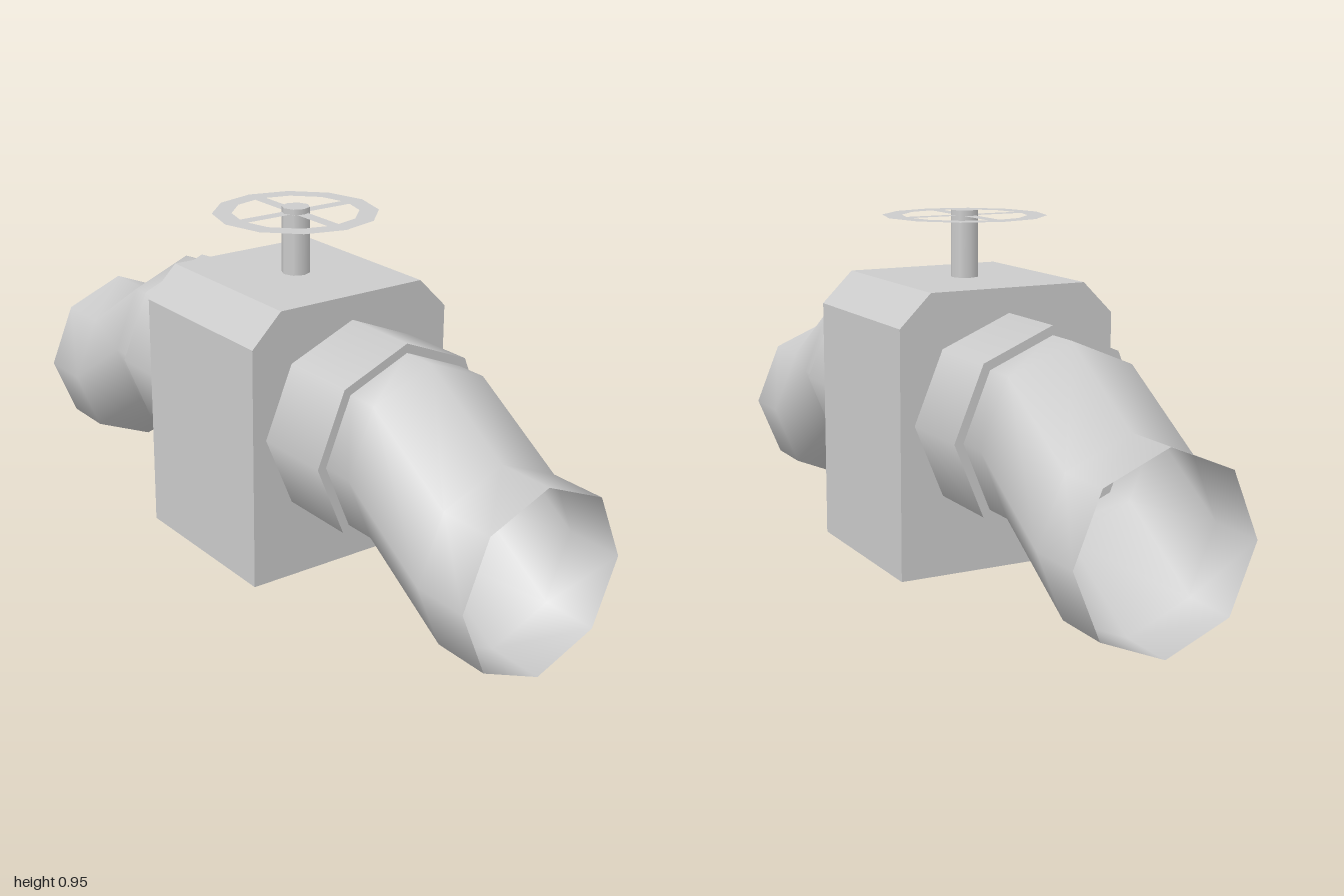
import * as THREE from 'three';
import { mergeVertices } from 'three/addons/utils/BufferGeometryUtils.js';

const material = new THREE.MeshStandardMaterial({ color: 0xcccccc });
const thinMaterial = new THREE.MeshStandardMaterial({ color: 0xcccccc, side: THREE.DoubleSide });

const AXIS_Y = 0.425; // height of the pipe axis at the valve body

function part(name, geometry, mat = material) {
  const mesh = new THREE.Mesh(geometry, mat);
  mesh.name = name;
  return mesh;
}

// Block with its two upper long edges chamfered, extruded along x
function bodyGeometry() {
  const shape = new THREE.Shape([
    [-0.315, 0.013], [0.315, 0.013], [0.315, 0.68],
    [0.227, 0.767], [-0.227, 0.767], [-0.315, 0.68],
  ].map(([z, y]) => new THREE.Vector2(z, y)));
  return new THREE.ExtrudeGeometry(shape, { depth: 0.51, bevelEnabled: false })
    .translate(0, 0, -0.255)
    .rotateY(Math.PI / 2);
}

// Open octagonal tube whose upright rings step down to the outlet
function pipeGeometry() {
  const rings = [[0.48, AXIS_Y], [0.57, AXIS_Y], [0.84, 0.252], [1, 0.252]];
  const geometry = new THREE.CylinderGeometry(0.25, 0.25, 3, 8, 3, true)
    .rotateZ(-Math.PI / 2)
    .translate(1.5, 0, 0);
  const pos = geometry.attributes.position;
  for (let i = 0; i < pos.count; i++) {
    const [x, y] = rings[Math.round(pos.getX(i))];
    pos.setX(i, x);
    pos.setY(i, pos.getY(i) + y);
  }
  // Weld the seam so the shading runs smoothly all the way round
  geometry.deleteAttribute('uv');
  geometry.deleteAttribute('normal');
  const welded = mergeVertices(geometry);
  welded.computeVertexNormals();
  return welded;
}

// Flat twelve-sided rim with four spokes, left over between four openings
function wheelGeometry() {
  const at = (r, degrees) => {
    const a = THREE.MathUtils.degToRad(degrees);
    return new THREE.Vector2(r * Math.cos(a), r * Math.sin(a));
  };
  const shape = new THREE.Shape(Array.from({ length: 12 }, (_, i) => at(0.225, i * 30)));
  const s = 0.018; // half the spoke width
  const opening = [
    new THREE.Vector2(0.032, s), new THREE.Vector2(0.167, s),
    at(0.172, 30), at(0.172, 60),
    new THREE.Vector2(s, 0.167), new THREE.Vector2(s, 0.032), at(0.04, 45),
  ];
  const origin = new THREE.Vector2();
  for (let i = 0; i < 4; i++) {
    shape.holes.push(new THREE.Path(
      opening.map((p) => p.clone().rotateAround(origin, i * Math.PI / 2))));
  }
  return new THREE.ShapeGeometry(shape).rotateX(-Math.PI / 2);
}

export function createModel() {
  const model = new THREE.Group();
  model.name = 'gateValve';

  model.add(part('valveBody', bodyGeometry()));

  // Collar and stepped pipe on each side
  const collar = new THREE.CylinderGeometry(0.275, 0.275, 0.225, 8)
    .rotateZ(-Math.PI / 2)
    .translate(0.3675, AXIS_Y, 0);
  const pipe = pipeGeometry();
  for (const side of ['left', 'right']) {
    const branch = new THREE.Group();
    branch.name = side + 'Branch';
    branch.add(part(side + 'Collar', collar), part(side + 'Pipe', pipe, thinMaterial));
    if (side === 'right') branch.rotation.y = Math.PI;
    model.add(branch);
  }

  // Stem and handwheel
  const stem = part('stem', new THREE.CylinderGeometry(0.039, 0.039, 0.185, 8));
  stem.position.y = 0.8575;
  const wheel = part('handwheel', wheelGeometry(), thinMaterial);
  wheel.position.y = 0.935;
  model.add(stem, wheel);

  return model;
}
